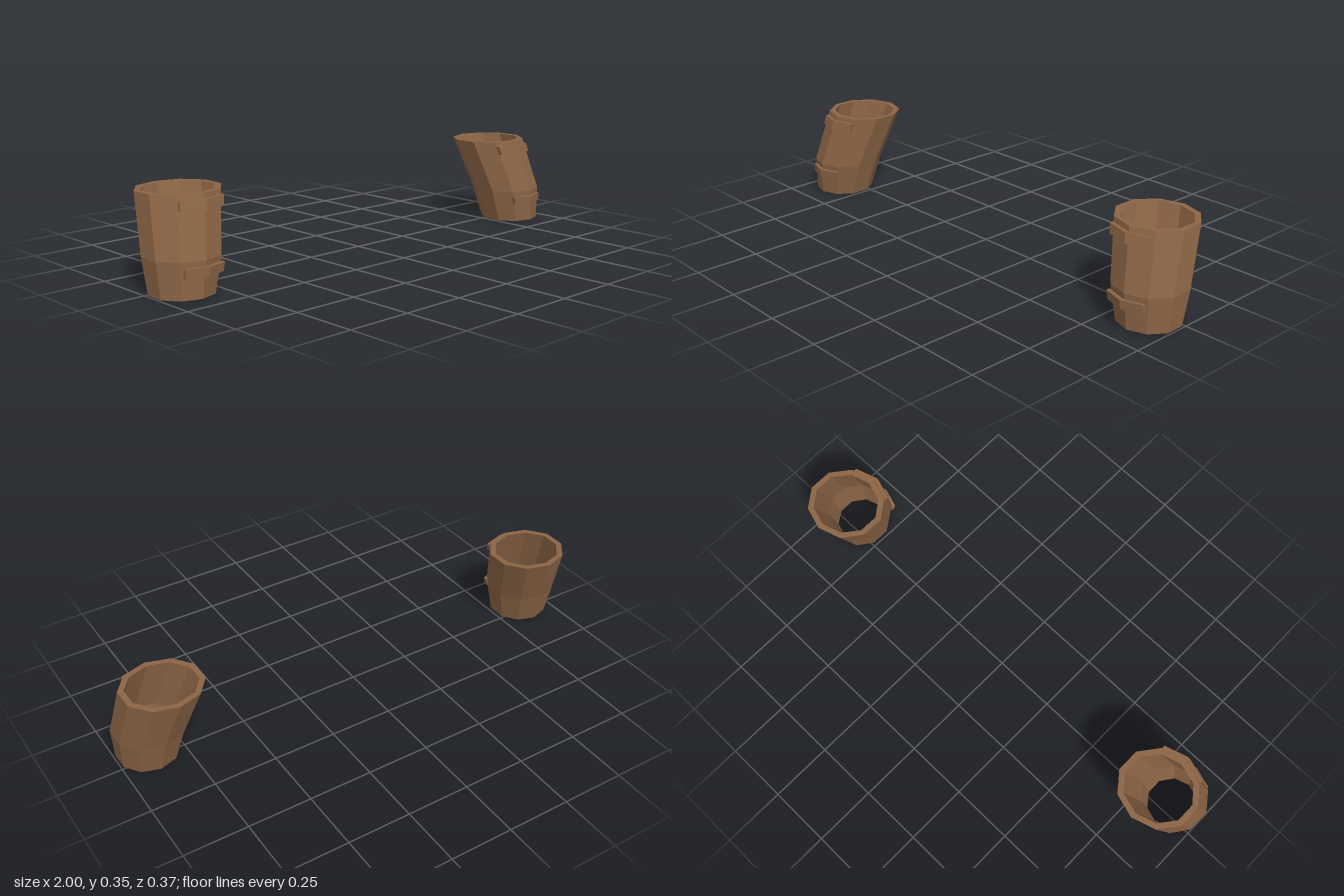
import * as THREE from 'three';

const SIDES = 10;
const material = new THREE.MeshStandardMaterial({ color: 0x8b6445, flatShading: true });

// Rings of the cuff from bottom to top: height, centre, radii and wall thickness
const RINGS = [
  { y: 0, cx: 0.878, cz: 0.047, rx: 0.119, rz: 0.12, wall: 0.02 },
  { y: 0.132, cx: 0.865, cz: 0.032, rx: 0.142, rz: 0.141, wall: 0.022 },
  { y: 0.346, cx: 0.823, cz: -0.037, rx: 0.157, rz: 0.148, wall: 0.023 },
];

// Ring interpolated at any height
function ringAt(y) {
  const [a, b] = y < RINGS[1].y ? [RINGS[0], RINGS[1]] : [RINGS[1], RINGS[2]];
  const t = (y - a.y) / (b.y - a.y);
  const ring = {};
  for (const key in a) ring[key] = THREE.MathUtils.lerp(a[key], b[key], t);
  return ring;
}

// Point on a ring, angle measured from +z towards +x
function ringPoint(ring, side, angle, inset = 0) {
  return new THREE.Vector3(
    side * ring.cx + (ring.rx - inset) * Math.sin(angle),
    ring.y,
    ring.cz + (ring.rz - inset) * Math.cos(angle));
}

// Flat-shaded mesh skinned over rows of points, with optional extra quads
function skin(name, rows, caps = []) {
  const pos = [];
  const quad = (a, b, c, d) => [a, b, c, a, c, d].forEach(p => pos.push(p.x, p.y, p.z));
  for (let j = 0; j < rows.length - 1; j++) {
    for (let i = 0; i < rows[j].length - 1; i++) {
      quad(rows[j][i], rows[j][i + 1], rows[j + 1][i + 1], rows[j + 1][i]);
    }
  }
  caps.forEach(c => quad(...c));
  const geometry = new THREE.BufferGeometry();
  geometry.setAttribute('position', new THREE.Float32BufferAttribute(pos, 3));
  geometry.computeVertexNormals();
  const mesh = new THREE.Mesh(geometry, material);
  mesh.name = name;
  return mesh;
}

// Hollow bent tube: up the outside, over the rim, down the inside, back
function makeShell(side) {
  const row = (ring, inset) => Array.from({ length: SIDES + 1 },
    (_, i) => ringPoint(ring, side, (i / SIDES) * Math.PI * 2, inset));
  const outer = RINGS.map(r => row(r, 0));
  const inner = RINGS.map(r => row(r, r.wall)).reverse();
  return skin('cuffShell', [...outer, ...inner, outer[0]]);
}

// Raised band across the two front facets
function makeStrap(name, side, yLow, yHigh, shift) {
  const row = (y, dz) => [-1, 0, 1].map(k => {
    const p = ringPoint(ringAt(y), side, (k * Math.PI * 2) / SIDES);
    p.x += side * shift;
    p.z += dz;
    return p;
  });
  const ol = row(yLow, 0.015), oh = row(yHigh, 0.015);
  const ih = row(yHigh, -0.002), il = row(yLow, -0.002);
  return skin(name, [ol, oh, ih, il, ol], [
    [il[0], ol[0], oh[0], ih[0]],
    [ol[2], il[2], ih[2], oh[2]],
  ]);
}

export function createModel() {
  const model = new THREE.Group();
  model.name = 'cuffPair';
  for (const side of [1, -1]) {
    const cuff = new THREE.Group();
    cuff.name = side > 0 ? 'leftCuff' : 'rightCuff';
    cuff.add(
      makeShell(side),
      makeStrap('lowerStrap', side, 0.078, 0.111, -0.008),
      makeStrap('upperStrap', side, 0.294, 0.328, -0.003));
    model.add(cuff);
  }
  return model;
}
